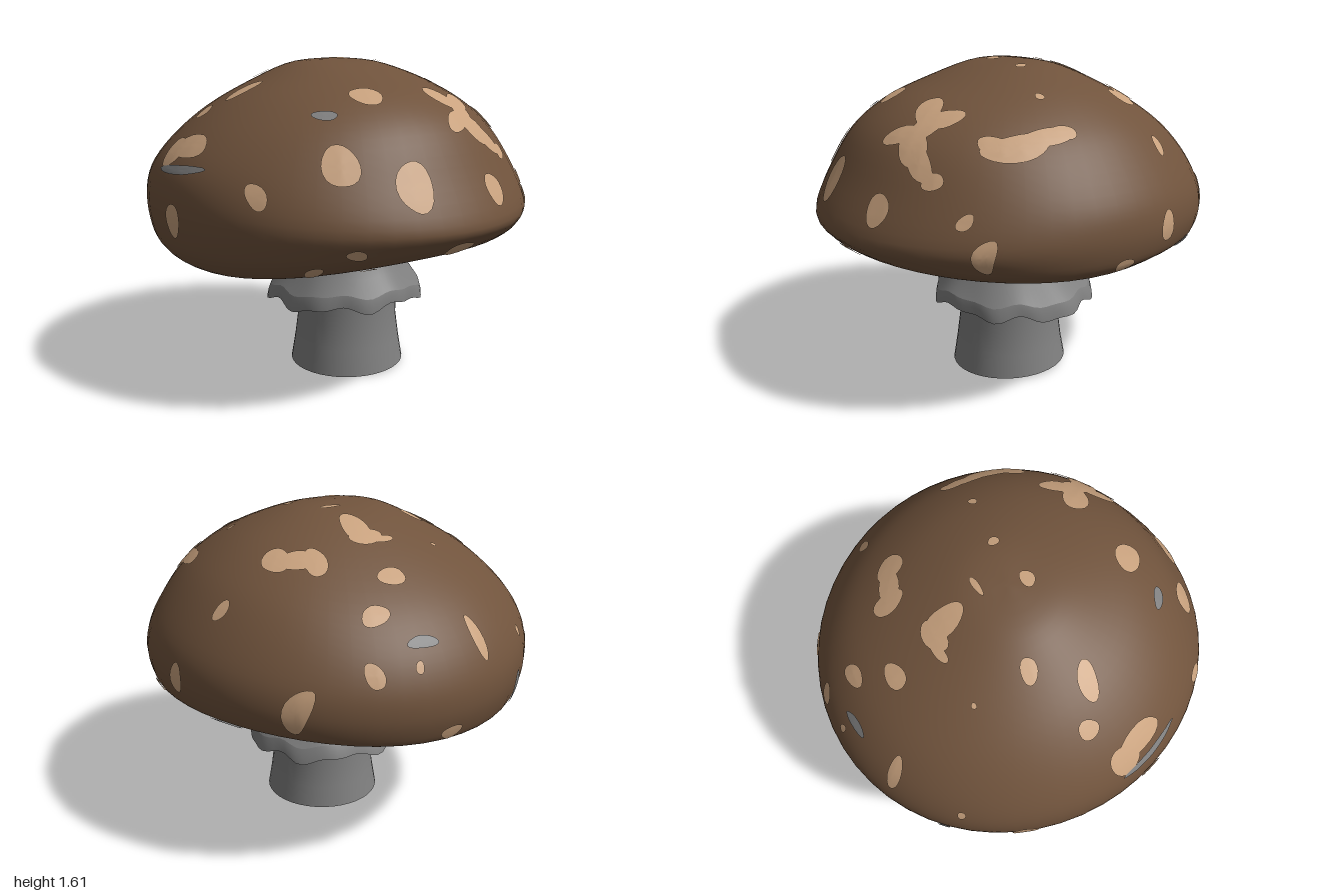
import * as THREE from 'three';
import { mergeVertices } from 'three/addons/utils/BufferGeometryUtils.js';

const TAU = Math.PI * 2;
const material = (name, color, side = THREE.FrontSide) => {
  const m = new THREE.MeshStandardMaterial({ color, side });
  m.name = name;
  return m;
};

// Skin a stack of closed rings: point(j, angle) returns [x, y, z], top ring first.
function loft(rings, segs, point) {
  const pos = [], idx = [];
  for (let j = 0; j < rings; j++) {
    for (let i = 0; i < segs; i++) {
      pos.push(...point(j, (i / segs) * TAU));
      if (j === rings - 1) continue;
      const a = j * segs + i, b = j * segs + ((i + 1) % segs);
      idx.push(a, a + segs, b + segs, a, b + segs, b);
    }
  }
  let g = new THREE.BufferGeometry();
  g.setAttribute('position', new THREE.Float32BufferAttribute(pos, 3));
  g.setIndex(idx);
  g = mergeVertices(g, 1e-5);
  g.computeVertexNormals();
  return g;
}

// Cap profiles (radius, height) toward +x, -x, +z and -z
const spline = (pts) => new THREE.SplineCurve(pts.map(([r, y]) => new THREE.Vector2(r, y)));
const profiles = {
  right: spline([[0, 1.61], [0.23, 1.59], [0.48, 1.5], [0.67, 1.38], [0.8, 1.25], [0.92, 1.07], [0.955, 0.93], [0.935, 0.8], [0.89, 0.745], [0.86, 0.732], [0.83, 0.728]]),
  left: spline([[0, 1.61], [0.22, 1.59], [0.42, 1.505], [0.62, 1.395], [0.8, 1.25], [0.92, 1.1], [0.955, 0.94], [0.93, 0.77], [0.88, 0.685], [0.82, 0.645], [0.78, 0.632]]),
  front: spline([[0, 1.61], [0.2, 1.585], [0.42, 1.515], [0.62, 1.43], [0.78, 1.3], [0.9, 1.1], [1.0, 0.9], [0.96, 0.825], [0.91, 0.785], [0.87, 0.762], [0.82, 0.748]]),
  back: spline([[0, 1.61], [0.22, 1.575], [0.5, 1.445], [0.75, 1.285], [0.9, 1.13], [0.98, 0.98], [0.995, 0.85], [0.965, 0.73], [0.93, 0.695], [0.89, 0.684], [0.85, 0.69]]),
};

// Blend the two neighbouring profiles; the rim lifts at the back right and dips at the front left
function capAt(t, a) {
  const s = Math.sin(a), c = Math.cos(a);
  const p = (s > 0 ? profiles.right : profiles.left).getPoint(t).multiplyScalar(s * s);
  p.addScaledVector((c > 0 ? profiles.front : profiles.back).getPoint(t), c * c);
  const d = (s - c) / Math.SQRT2;
  p.y += THREE.MathUtils.smoothstep(t, 0.55, 0.85) * (d > 0 ? 0.05 : -0.02) * d ** 4;
  return p;
}

// Spots: [across, up, half width, half height, tilt in degrees], seen along each direction
const frontSpots = [
  [-0.2, 1.44, 0.07, 0.033, 5], [-0.46, 1.17, 0.065, 0.09, -25], [-0.19, 1.08, 0.08, 0.11, -20],
  [-0.76, 1.045, 0.03, 0.055, -10], [0.26, 1.03, 0.06, 0.07, 20], [0.63, 1.03, 0.028, 0.033, 0],
  [0.715, 0.895, 0.033, 0.075, -8],
  [0.03, 0.8, 0.075, 0.034, 0], [-0.455, 0.815, 0.04, 0.025, -15], [-0.57, 0.725, 0.03, 0.03, 0],
  [-0.33, 0.715, 0.04, 0.022, 0],
  // branching blotch
  [0.2, 1.42, 0.09, 0.035, -25], [0.31, 1.4, 0.07, 0.034, -5], [0.265, 1.36, 0.06, 0.06, 0],
  [0.18, 1.325, 0.08, 0.04, 15], [0.28, 1.29, 0.1, 0.055, -35], [0.36, 1.23, 0.1, 0.04, -38],
  [0.45, 1.17, 0.045, 0.034, 0],
];
const rightSpots = [
  [-0.42, 1.305, 0.14, 0.045, 10], [-0.49, 1.31, 0.06, 0.04, 0], [-0.29, 1.34, 0.12, 0.032, 8],
  [-0.2, 1.355, 0.05, 0.026, 0],
  [0.3, 1.245, 0.033, 0.04, 0], [0.19, 0.93, 0.05, 0.068, 0], [0.75, 0.915, 0.042, 0.1, -8],
  [-0.065, 0.8, 0.05, 0.03, 0],
];
const topSpots = [
  [-0.21, 0.87, 0.035, 0.065, 25], [0.13, 0.925, 0.02, 0.015, 0], [0.325, 0.88, 0.045, 0.026, -35],
  [0.235, 0.74, 0.065, 0.038, 0], [0.07, 0.61, 0.07, 0.043, 0], [-0.28, 0.44, 0.015, 0.012, 0],
  [0.075, 0.31, 0.065, 0.1, 0], [-0.01, 0.41, 0.06, 0.022, 0], [0.06, 0.38, 0.08, 0.05, 0],
  [0.345, 0.425, 0.05, 0.08, -15], [0.41, 0.37, 0.09, 0.05, -30], [0.48, 0.31, 0.06, 0.07, 10],
  [-0.335, 0.175, 0.058, 0.038, -35], [-0.67, 0.115, 0.04, 0.05, 0], [-0.52, -0.005, 0.085, 0.048, -25],
  [0.09, 0.11, 0.052, 0.016, -5], [-0.03, -0.08, 0.043, 0.034, 0], [0.21, -0.09, 0.025, 0.027, 0],
  [0.475, -0.185, 0.024, 0.02, 0], [-0.86, 0.045, 0.052, 0.08, 0], [-0.83, -0.06, 0.045, 0.14, 8],
];
const backLeftSpots = [
  [-0.016, 1.06, 0.02, 0.025, 0], [0.28, 0.92, 0.058, 0.045, 10], [0.1, 0.725, 0.06, 0.03, 0],
  [-0.57, 0.765, 0.045, 0.035, 0],
];

export function createModel() {
  const model = new THREE.Group();
  const brown = material('cap brown', 0x70533c);
  const tan = material('spot tan', 0xc9a27e, THREE.DoubleSide);
  const grey = material('stem grey', 0x808080, THREE.DoubleSide);
  const add = (name, geometry, mat) => {
    const mesh = new THREE.Mesh(geometry, mat);
    mesh.name = name;
    model.add(mesh);
    return mesh;
  };

  // Cap skin
  const N = 44;
  const cap = add('cap', loft(N + 1, 56, (j, a) => {
    const p = capAt(j / N, a);
    return [p.x * Math.sin(a), p.y, p.x * Math.cos(a)];
  }), brown);

  // Shallow hollow underside, with a narrow lip inside the rim
  const hollow = [[1, 0], [0.97, 0.15], [0.9, 0.4], [0.75, 0.68], [0.55, 0.88], [0.35, 0.97], [0, 1]];
  add('underside', loft(hollow.length, 56, (j, a) => {
    const p = capAt(1, a), [f, k] = hollow[j];
    return [p.x * f * Math.sin(a), p.y + (0.81 - p.y) * k, p.x * f * Math.cos(a)];
  }), grey);

  // Spots laid onto the near side of the cap by casting rays along a viewing direction
  const caster = new THREE.Raycaster();
  function spots(name, list, mat, n, w) {
    const u = new THREE.Vector3().crossVectors(w, n), back = n.clone().negate();
    const hitAt = (p, q) => {
      caster.set(u.clone().multiplyScalar(p).addScaledVector(w, q).addScaledVector(n, 4), back);
      const hit = caster.intersectObject(cap)[0];
      return hit && hit.point.dot(n) > 0 ? hit.point.addScaledVector(hit.face.normal, 0.006) : null;
    };
    list.forEach(([p, q, rx, ry, deg], k) => {
      const R = 4, S = 20, tilt = deg * Math.PI / 180;
      const centre = hitAt(p, q);
      if (!centre) return;
      // Pull a point toward the spot's centre until its ray meets the cap
      add(name, loft(R + 1, S, (j, a) => {
        const wobble = 1 + 0.05 * Math.sin(2 * a + k) + 0.05 * Math.sin(3 * a + 2 * k);
        for (let f = (1 - j / R) * wobble; f > 0.02; f *= 0.85) {
          const x = rx * f * Math.cos(a), y = ry * f * Math.sin(a);
          const hit = hitAt(p + x * Math.cos(tilt) - y * Math.sin(tilt), q + x * Math.sin(tilt) + y * Math.cos(tilt));
          if (hit) return hit.toArray();
        }
        return centre.toArray();
      }), mat);
    });
  }
  const up = new THREE.Vector3(0, 1, 0);
  const front = new THREE.Vector3(0, 0, 1), right = new THREE.Vector3(1, 0, 0);
  const left = new THREE.Vector3(-1, 0, 0), backLeft = new THREE.Vector3(-0.6, 0, -0.8);
  const north = new THREE.Vector3(0, 0, -1);
  spots('frontSpot', frontSpots, tan, front, up);
  spots('sideSpot', rightSpots, tan, right, up);
  spots('topSpot', topSpots, tan, up, north);
  spots('backSpot', backLeftSpots, tan, backLeft, up);
  spots('leftSpot', [[0.1, 0.89, 0.06, 0.08, 0]], tan, left, up);
  spots('greyFleck', [[-0.42, 1.365, 0.045, 0.018, 5]], grey, front, up);
  spots('greyFleck', [[0.43, 0.78, 0.08, 0.014, 0]], grey, right, up);
  spots('greyFleck', [[0.08, 0.87, 0.075, 0.018, -8]], grey, up, north);
  spots('greyFleck', [[0.09, 1.115, 0.18, 0.02, 4]], grey, left, up);
  spots('greyFleck', [[-0.11, 0.82, 0.028, 0.09, 8]], grey, backLeft, up);

  // Stem with a slightly slanted foot
  const cx = 0.055, cz = 0.045;
  const slant = (a) => 0.008 * (Math.sin(a) - Math.cos(a));
  const stem = [[0.29, 0.82], [0.272, 0.75], [0.265, 0.6], [0.263, 0.4], [0.263, 0.26], [0.28, 0.13], [0.3, 0.012]];
  add('stem', loft(stem.length, 40, (j, a) => {
    const [r, y] = stem[j];
    return [cx + r * Math.sin(a), y + (j === stem.length - 1 ? slant(a) : 0), cz + r * Math.cos(a)];
  }), grey);
  add('stemFoot', loft(2, 40, (j, a) => {
    const r = j ? 0 : 0.3;
    return [cx + r * Math.sin(a), 0.012 + (j ? 0 : slant(a)), cz + r * Math.cos(a)];
  }), grey);

  // Ragged ring: draped skirt, folded hem and inner lining, sharing wavy edges
  const wave = (a) => 0.012 * Math.sin(7 * a + 0.6) + 0.008 * Math.sin(12 * a + 2) - 0.02 * Math.sin(a) ** 2;
  const ring = (name, rows) => add(name, loft(rows.length, 72, (j, a) => {
    const [r, y, k] = rows[j];
    const rr = r + k * 0.6 * wave(a + 0.3), yy = y + k * wave(a);
    return [cx + rr * Math.sin(a), yy, cz - 0.025 * k + rr * Math.cos(a)];
  }), grey);
  ring('ringSkirt', [[0.268, 0.76, 0], [0.272, 0.66, 0], [0.285, 0.61, 0], [0.335, 0.53, 0.3], [0.4, 0.455, 0.8]]);
  ring('ringHem', [[0.4, 0.455, 0.8], [0.412, 0.425, 1], [0.418, 0.39, 1.2]]);
  ring('ringLining', [[0.418, 0.39, 1.2], [0.37, 0.45, 0.8], [0.31, 0.52, 0.3], [0.26, 0.57, 0]]);

  return model;
}
